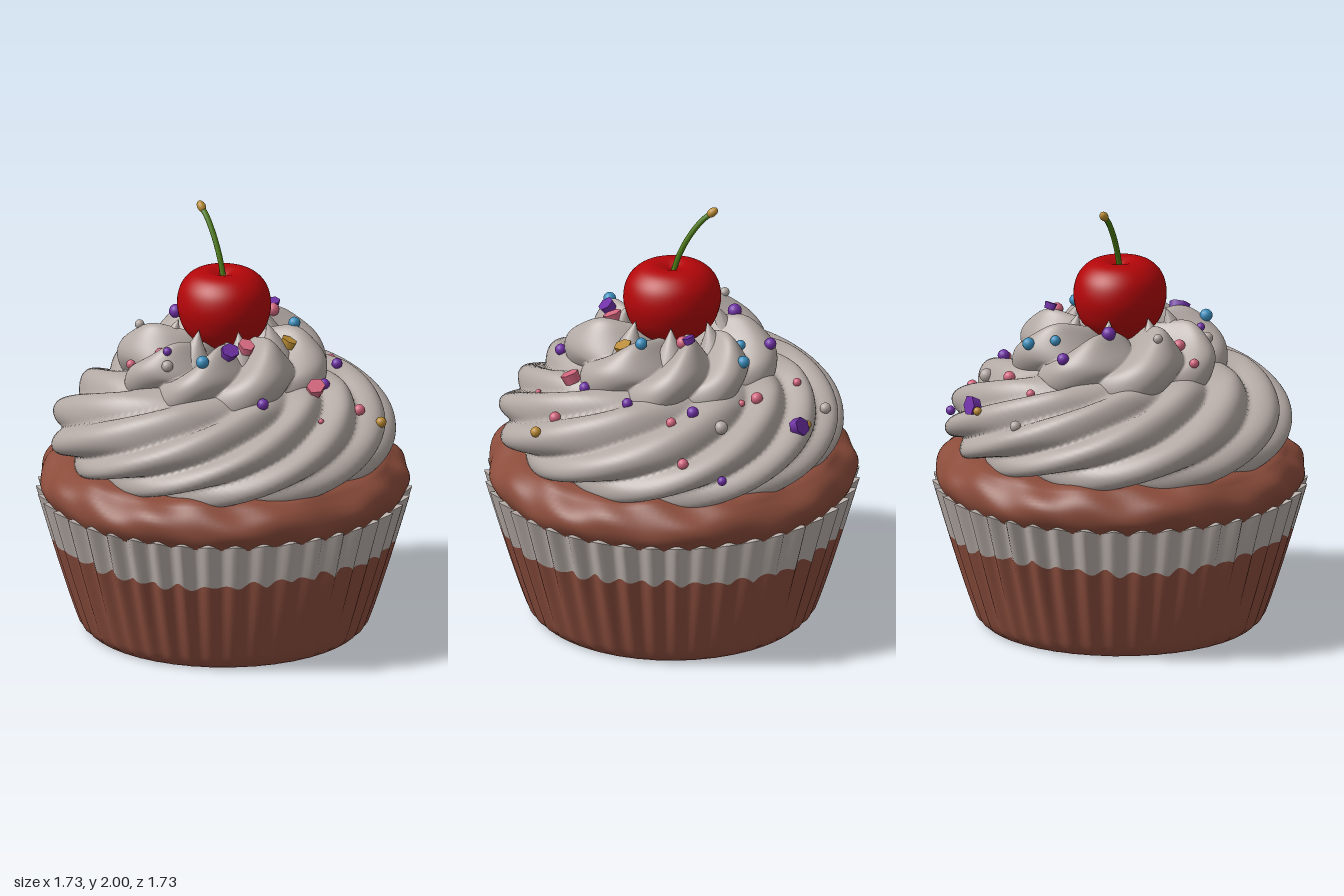
import * as THREE from 'three';

const mat = (name, color, side = THREE.FrontSide) => {
  const m = new THREE.MeshStandardMaterial({ color, side });
  m.name = name;
  return m;
};

// Closed ring surface: fn(angle, t) -> [radius, y], t running from bottom to top
function ringSurface(nu, nv, fn) {
  const pos = [], idx = [];
  for (let j = 0; j <= nv; j++) {
    for (let i = 0; i < nu; i++) {
      const a = (i / nu) * Math.PI * 2;
      const [r, y] = fn(a, j / nv);
      pos.push(r * Math.cos(a), y, r * Math.sin(a));
    }
  }
  for (let j = 0; j < nv; j++) {
    for (let i = 0; i < nu; i++) {
      const p = j * nu + i, q = j * nu + ((i + 1) % nu);
      idx.push(p, p + nu, q, q, p + nu, q + nu);
    }
  }
  const g = new THREE.BufferGeometry();
  g.setAttribute('position', new THREE.Float32BufferAttribute(pos, 3));
  g.setIndex(idx);
  g.computeVertexNormals();
  return g;
}

const spline = (pts) => new THREE.SplineCurve(pts.map((p) => new THREE.Vector2(...p)));

// Piped cream: a profile pushed in and out by rounded ridges that twist around the axis
function pipedCream(points, lobes, twist, amp, tip) {
  const curve = spline(points);
  return ringSurface(264, 44, (a, t) => {
    const p = curve.getPoint(t), d = curve.getTangent(t);
    const phase = a + twist * t;
    const lobe = Math.abs(Math.sin((lobes * phase) / 2 + 0.35 * Math.sin(2 * phase)));
    const fade = Math.min(1, (1 - t) * 5);
    const push = amp * fade * (1.7 * lobe - 1 + 0.25 * Math.sin(3 * phase + 1));
    const spike = tip * Math.pow(lobe, 4) * Math.exp(-Math.pow((t - 0.6) / 0.13, 2));
    return [Math.max(0.002, p.x + d.y * push), p.y - d.x * push + spike];
  });
}

export function createModel() {
  const group = new THREE.Group();
  const cream = mat('cream', 0xb3a9a4);
  const paper = mat('paper', 0xbab0ab, THREE.DoubleSide);
  const brownPaper = mat('brown paper', 0x8e4f3f, THREE.DoubleSide);
  const sponge = mat('sponge', 0x8b4c3b);
  const red = mat('cherry red', 0xb20609);
  const green = mat('stem green', 0x4c7a14);
  const gold = mat('gold', 0xb98a32);
  const purple = mat('purple', 0x6f30a6);
  const blue = mat('blue', 0x3a8fbe);
  const pink = mat('pink', 0xd2667e);

  const add = (name, geometry, material, parent = group) => {
    const m = new THREE.Mesh(geometry, material);
    m.name = name;
    parent.add(m);
    return m;
  };

  // Pleated wrapper, brown below a ragged line and pale above it
  const pleats = 42;
  const pleatWave = (a) => Math.cos(pleats * a + 0.5 * Math.sin(5 * a));
  const wrapperRadius = (a, y) => {
    const base = y < 0.03 ? 0.625 + y * 1.2 : 0.661 + 0.182 * Math.pow((y - 0.03) / 0.63, 0.9);
    return base + (0.004 + 0.027 * y) * pleatWave(a);
  };
  const dyeLine = (a) => 0.447 + 0.012 * Math.sin(4 * a + 1) + 0.012 * Math.sin(pleats * a) + 0.008 * Math.sin(29 * a);
  const rim = (a) => 0.655 + 0.012 * pleatWave(a);
  add('wrapperLower', ringSurface(pleats * 8, 16, (a, t) => {
    const y = dyeLine(a) * Math.pow(t, 1.4);
    return [wrapperRadius(a, y), y];
  }), brownPaper);
  add('wrapperUpper', ringSurface(pleats * 8, 6, (a, t) => {
    const y = THREE.MathUtils.lerp(dyeLine(a), rim(a), t);
    return [wrapperRadius(a, y), y];
  }), paper);
  add('wrapperRim', ringSurface(pleats * 8, 1, (a, t) => [wrapperRadius(a, rim(a)) - 0.045 * t, rim(a)]), paper);
  const base = add('wrapperBase', new THREE.CircleGeometry(0.632, 84), brownPaper);
  base.rotation.x = Math.PI / 2;
  base.position.y = 0.002;

  // Sponge with a lumpy domed edge
  const cakeProfile = spline([[0.77, 0.58], [0.82, 0.64], [0.848, 0.7], [0.836, 0.76], [0.785, 0.81], [0.7, 0.845], [0.4, 0.86]]);
  add('spongeTop', ringSurface(160, 24, (a, t) => {
    const p = cakeProfile.getPoint(t);
    const lump = 0.005 * Math.sin(9 * a + 7 * t) + 0.005 * Math.sin(17 * a - 9 * t);
    return [p.x + lump, p.y + lump];
  }), sponge);

  // Large frosting swirl and the smaller rosette on top
  const frosting = new THREE.Group();
  frosting.name = 'frosting';
  group.add(frosting);
  add('frostingSwirl', pipedCream(
    [[0.62, 0.815], [0.715, 0.84], [0.77, 0.92], [0.755, 1.03], [0.665, 1.135], [0.54, 1.205], [0.38, 1.25]],
    11, 2.1, 0.04, 0), cream, frosting);
  add('frostingRosette', pipedCream(
    [[0.43, 1.14], [0.465, 1.23], [0.455, 1.31], [0.39, 1.365], [0.28, 1.395], [0.14, 1.39], [0.004, 1.37]],
    8, 0.9, 0.045, 0.035), cream, frosting);

  // Pulled cream tips curling around the cherry
  for (let i = 0; i < 7; i++) {
    const a = 1.85 + (i * Math.PI * 2) / 7;
    const g = new THREE.ConeGeometry(0.085, 0.16, 16, 6);
    const p = g.attributes.position;
    for (let k = 0; k < p.count; k++) {
      const h = p.getY(k) / 0.16 + 0.5;
      p.setX(k, p.getX(k) - 0.04 * h * h);
    }
    g.computeVertexNormals();
    const tip = add('creamTip', g, cream, frosting);
    tip.position.set(0.25 * Math.cos(a), 1.41, 0.25 * Math.sin(a));
    tip.rotation.y = -a;
  }

  // Cherry with a dimple, and its bent stem
  const cherryProfile = spline([[0.001, 1.35], [0.1, 1.365], [0.175, 1.43], [0.207, 1.51], [0.212, 1.58], [0.192, 1.65], [0.145, 1.7], [0.085, 1.718], [0.035, 1.705], [0.001, 1.685]]);
  const cherry = add('cherry', new THREE.LatheGeometry(cherryProfile.getPoints(40), 48), red);
  cherry.scale.z = 1.06;
  const stemCurve = new THREE.CatmullRomCurve3([
    [0, 1.66, 0], [0, 1.76, -0.03], [0, 1.86, -0.08], [0, 1.94, -0.14], [0, 1.98, -0.19],
  ].map((p) => new THREE.Vector3(...p)));
  add('cherryStem', new THREE.TubeGeometry(stemCurve, 24, 0.013, 10), green);
  const stemTip = add('stemTip', new THREE.SphereGeometry(0.02, 14, 10), gold);
  stemTip.position.set(0, 1.978, -0.185);
  stemTip.scale.set(1, 1, 1.5);
  stemTip.rotation.x = 0.7;

  // Sprinkles dropped onto the frosting: [x, z, radius]
  const beads = [
    [purple, [[-0.07, -0.29, 0.033], [0.09, -0.45, 0.028], [0.55, -0.08, 0.028], [0.48, 0.22, 0.025], [-0.13, 0.51, 0.027], [0.28, 0.41, 0.026], [-0.37, 0.08, 0.02], [0.76, -0.21, 0.022]]],
    [blue, [[0.32, -0.32, 0.029], [0.19, -0.31, 0.024], [0.29, 0.15, 0.028], [-0.31, 0.28, 0.03]]],
    [pink, [[-0.43, -0.13, 0.022], [-0.32, -0.05, 0.028], [0.39, -0.38, 0.028], [0.3, -0.04, 0.03], [0.58, 0.02, 0.024], [0.73, -0.03, 0.026], [0.38, 0.55, 0.027], [0.2, -0.57, 0.02], [0.12, 0.62, 0.013], [0.41, -0.31, 0.016]]],
    [gold, [[0.44, 0.64, 0.025], [0.45, -0.61, 0.02]]],
    [cream, [[0.22, -0.7, 0.026], [0.58, -0.21, 0.032], [-0.39, 0.11, 0.027], [-0.3, -0.25, 0.022]]],
  ];
  const chunks = [
    [purple, [[0.49, -0.57, 0.052], [-0.17, 0.29, 0.05], [0.32, -0.07, 0.034]]],
    [pink, [[-0.06, 0.27, 0.045], [0.19, 0.47, 0.052]]],
    [gold, [[0.2, 0.23, 0.042]]],
  ];
  const sprinkles = new THREE.Group();
  sprinkles.name = 'sprinkles';
  group.add(sprinkles);
  frosting.updateMatrixWorld(true);
  const ray = new THREE.Raycaster();
  const down = new THREE.Vector3(0, -1, 0);
  const drop = (mesh, x, z, lift) => {
    ray.set(new THREE.Vector3(x, 3, z), down);
    const hit = ray.intersectObject(frosting, true)[0];
    mesh.position.set(x, (hit ? hit.point.y : 0.95) + lift, z);
  };
  for (const [m, list] of beads) {
    for (const [x, z, r] of list) drop(add('sprinkleBead', new THREE.SphereGeometry(r, 14, 10), m, sprinkles), x, z, r * 0.5);
  }
  for (const [m, list] of chunks) {
    list.forEach(([x, z, r], i) => {
      const c = add('sprinkleChunk', new THREE.CylinderGeometry(r, r * 0.85, r * 0.9, 6), m, sprinkles);
      drop(c, x, z, r * 0.4);
      c.rotation.set(z * 1.4, i * 2 + x, -x * 1.4);
      c.scale.x = 0.8;
    });
  }
  return group;
}
